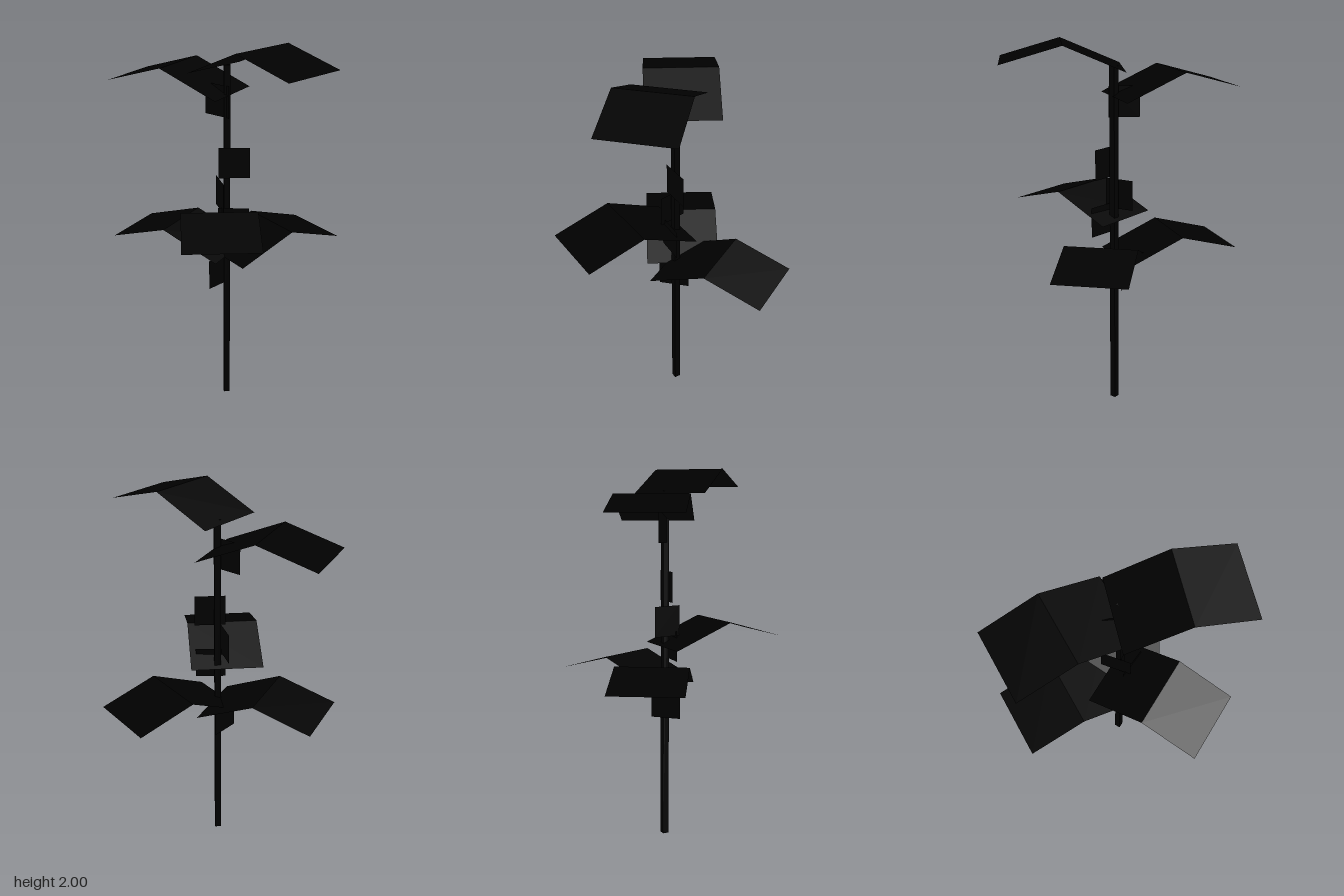
import * as THREE from 'three';

const black = new THREE.MeshStandardMaterial({ color: 0x000000, side: THREE.DoubleSide });
black.name = 'black foliage';

// Large leaf: a sheet folded across the middle, rising from its base and drooping at the tip
function makeLeaf(x, y, z, degrees) {
  const length = 0.631, width = 0.388;
  const geo = new THREE.PlaneGeometry(length, width, 2, 1);
  geo.rotateX(-Math.PI / 2);
  geo.translate(length / 2, 0, 0);
  const pos = geo.attributes.position;
  for (let i = 0; i < pos.count; i++) {
    const t = pos.getX(i) / length;
    pos.setY(i, t < 0.25 ? 0 : t < 0.75 ? 0.135 : 0.045);
  }
  const flat = geo.toNonIndexed();
  flat.computeVertexNormals();
  const leaf = new THREE.Mesh(flat, black);
  leaf.position.set(x, y, z);
  leaf.rotation.y = THREE.MathUtils.degToRad(degrees);
  return leaf;
}

// Small upright square leaflet between two ground-plan points
function makeLeaflet(y, [x0, z0], [x1, z1]) {
  const size = Math.hypot(x1 - x0, z1 - z0);
  const leaflet = new THREE.Mesh(new THREE.PlaneGeometry(size, 0.164), black);
  leaflet.position.set((x0 + x1) / 2, y, (z0 + z1) / 2);
  leaflet.rotation.y = -Math.atan2(z1 - z0, x1 - x0);
  return leaflet;
}

export function createModel() {
  const model = new THREE.Group();
  model.name = 'plant';
  const add = (mesh, name) => {
    mesh.name = name;
    model.add(mesh);
  };

  // Slender four-sided stem
  const stem = new THREE.Mesh(
    new THREE.CylinderGeometry(0.0235, 0.0235, 1.88, 4).toNonIndexed(), black);
  stem.geometry.computeVertexNormals();
  stem.position.set(0.037, 0.94, 0.011);
  add(stem, 'stem');

  // Folded leaves: base position and heading
  [
    [-0.014, 1.865, 0.053, 0],
    [0.04, 1.725, -0.03, 195],
    [-0.029, 1.06, 0.016, -45],
    [0.04, 0.855, -0.03, 195],
    [0.047, 0.855, 0.055, 75],
  ].forEach((p, i) => add(makeLeaf(...p), `leaf${i + 1}`));

  // Leaflets along the stem
  [
    [1.693, [-0.1, 0.025], [0.063, 0.025]],
    [1.373, [0.023, 0.06], [0.14, -0.053]],
    [1.192, [-0.06, -0.01], [0.075, 0.08]],
    [1.053, [0.037, 0.08], [0.16, -0.025]],
    [0.747, [0.001, 0.112], [0.001, -0.052]],
  ].forEach((p, i) => add(makeLeaflet(...p), `leaflet${i + 1}`));

  return model;
}
